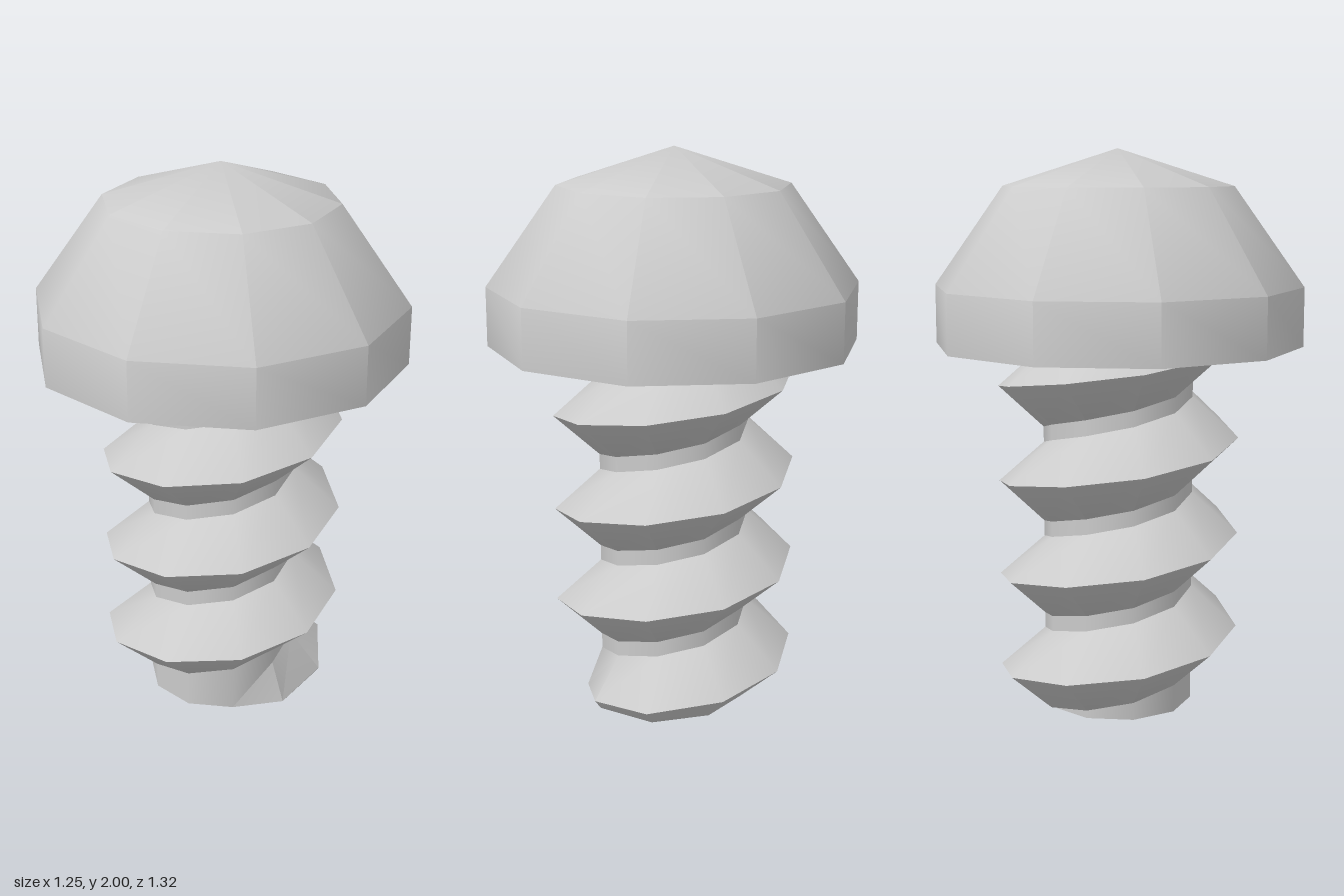
import * as THREE from 'three';
import { toCreasedNormals } from 'three/addons/utils/BufferGeometryUtils.js';

const SIDES = 10;
const SHAFT_R = 0.27, CREST_R = 0.435;
const PITCH = 0.35, HALF_HEIGHT = 0.147;
const HEAD_BASE = 1.31;

const material = new THREE.MeshStandardMaterial({ color: 0xcccccc });

function makeMesh(name, geometry) {
  const mesh = new THREE.Mesh(toCreasedNormals(geometry, 0.72), material);
  mesh.name = name;
  return mesh;
}

// Triangular ridge swept up a helix, fading in at the tip and cut flat at y = 0
function threadGeometry() {
  const first = -9, last = 32;
  const positions = [], index = [];
  for (let i = first; i <= last; i++) {
    const angle = (i / SIDES) * Math.PI * 2;
    const fade = Math.min(1, (i - first) / 3);
    const crestR = SHAFT_R + (CREST_R - SHAFT_R) * fade;
    const y = 0.28 + (PITCH * i) / SIDES;
    const crestY = Math.max(0, y);
    const lowY = Math.max(0, y - HALF_HEIGHT);
    const lowR = crestR + (SHAFT_R - crestR) * Math.min(1, crestY / HALF_HEIGHT);
    const section = [
      [SHAFT_R, y + HALF_HEIGHT], // upper root
      [crestR, crestY],           // crest
      [lowR, lowY],               // lower root
      [0.22, lowY],               // hidden inside the shaft
    ];
    for (const [r, h] of section) positions.push(r * Math.sin(angle), h, r * Math.cos(angle));
  }
  for (let i = 0; i < last - first; i++) {
    for (let j = 0; j < 3; j++) {
      const a = i * 4 + j, b = a + 1;
      index.push(b, b + 4, a + 4, b, a + 4, a);
    }
  }
  // End face below the head
  const e = (last - first) * 4;
  index.push(e, e + 2, e + 1);

  const geometry = new THREE.BufferGeometry();
  geometry.setAttribute('position', new THREE.Float32BufferAttribute(positions, 3));
  geometry.setIndex(index);
  return geometry;
}

export function createModel() {
  const screw = new THREE.Group();
  screw.name = 'screw';

  // Domed ten-sided head with a flat underside
  const headProfile = [
    [0, HEAD_BASE], [0.659, HEAD_BASE], [0.659, 1.52], [0.41, 1.87], [0, 2],
  ].map(([r, y]) => new THREE.Vector2(r, y));
  screw.add(makeMesh('head', new THREE.LatheGeometry(headProfile, SIDES)));

  // Straight shaft, running slightly into the head
  const shaftHeight = HEAD_BASE + 0.02;
  const shaft = new THREE.CylinderGeometry(SHAFT_R, SHAFT_R, shaftHeight, SIDES);
  shaft.translate(0, shaftHeight / 2, 0);
  screw.add(makeMesh('shaft', shaft));

  screw.add(makeMesh('thread', threadGeometry()));
  return screw;
}
